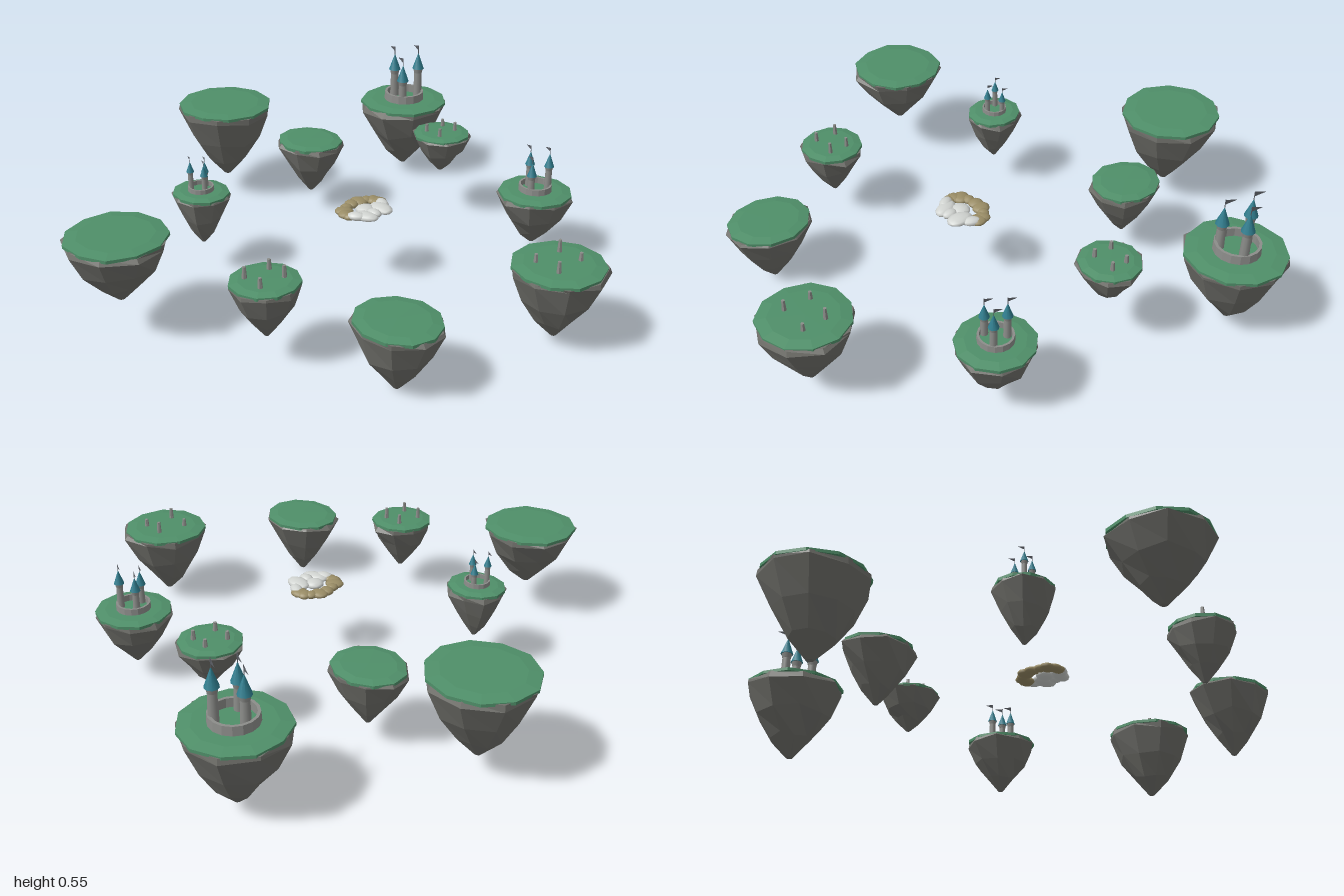
import * as THREE from 'three';

const mat = (name, color, side = THREE.FrontSide) => {
  const m = new THREE.MeshStandardMaterial({ color, side });
  m.name = name;
  return m;
};

function seeded(seed) {
  let s = seed * 7919 + 17;
  return () => ((s = (s * 16807) % 2147483647) / 2147483647);
}

// Faceted solid from rings of points (top ring first), closed by two centre points
function loft(rings, top, bottom) {
  const pos = [];
  const n = rings[0].length;
  const tri = (a, b, c) => pos.push(...a, ...b, ...c);
  for (let i = 0; i < n; i++) {
    const j = (i + 1) % n;
    tri(top, rings[0][j], rings[0][i]);
    for (let k = 0; k + 1 < rings.length; k++) {
      const u = rings[k], l = rings[k + 1];
      tri(u[i], u[j], l[i]);
      tri(u[j], l[j], l[i]);
    }
    const last = rings[rings.length - 1];
    tri(bottom, last[i], last[j]);
  }
  const g = new THREE.BufferGeometry();
  g.setAttribute('position', new THREE.Float32BufferAttribute(pos, 3));
  g.computeVertexNormals();
  return g;
}

// x, z, radius x, radius z, top height, tip height, what stands on it, its scale
const ISLANDS = [
  [0.16, -0.805, 0.182, 0.188, 0.39, 0.08],
  [0.27, -0.44, 0.118, 0.133, 0.3, 0.08],
  [-0.82, -0.275, 0.172, 0.172, 0.37, 0.13],
  [0.8, -0.395, 0.18, 0.18, 0.325, 0.035, 'castle', 1],
  [-0.36, -0.38, 0.098, 0.104, 0.325, 0.12, 'castle', 0.57],
  [0.57, -0.025, 0.11, 0.11, 0.35, 0.19, 'stones', 0.75],
  [-0.47, 0.605, 0.135, 0.152, 0.25, 0.0],
  [-0.63, 0.205, 0.118, 0.115, 0.305, 0.1, 'stones', 0.85],
  [0.525, 0.44, 0.134, 0.134, 0.265, 0.055, 'castle', 0.75],
  [0.065, 0.83, 0.16, 0.16, 0.3, 0.03, 'stones', 1],
];

export function createModel() {
  const rock = mat('rock grey', 0x70706b);
  const grass = mat('grass green', 0x4f8f69);
  const stone = mat('castle stone', 0x8c8d8a, THREE.DoubleSide);
  const roof = mat('roof teal', 0x2f7d8e);
  const cloth = mat('flag grey', 0x5c5f66, THREE.DoubleSide);
  const pale = mat('pale stone', 0xd2d5d2);
  const tan = mat('sand tan', 0x9a8d66);

  const model = new THREE.Group();
  model.name = 'floatingIslands';

  const add = (parent, name, geo, material, x = 0, y = 0, z = 0) => {
    const mesh = new THREE.Mesh(geo, material);
    mesh.name = name;
    mesh.position.set(x, y, z);
    parent.add(mesh);
    return mesh;
  };
  const flat = (g) => {
    const f = g.toNonIndexed();
    f.computeVertexNormals();
    return f;
  };

  // Ringed wall, three roofed towers and their flags
  const towerSpots = [[0, -0.052, 0.118], [-0.05, 0.032, 0.1], [0.05, 0.032, 0.128]];
  function castle(turn) {
    const g = new THREE.Group();
    g.name = 'castle';
    const wall = [[0.07, 0], [0.082, 0], [0.08, 0.036], [0.07, 0.036], [0.07, 0]];
    add(g, 'ringWall', flat(new THREE.LatheGeometry(wall.map((p) => new THREE.Vector2(...p)), 16)), stone);
    for (const [x0, z0, h] of towerSpots) {
      const x = x0 * Math.cos(turn) - z0 * Math.sin(turn);
      const z = x0 * Math.sin(turn) + z0 * Math.cos(turn);
      add(g, 'tower', new THREE.CylinderGeometry(0.015, 0.018, h, 10), stone, x, h / 2, z);
      add(g, 'towerCollar', new THREE.CylinderGeometry(0.02, 0.016, 0.018, 10), stone, x, h - 0.009, z);
      add(g, 'towerRoof', new THREE.ConeGeometry(0.024, 0.068, 10), roof, x, h + 0.034, z);
      add(g, 'flagPole', new THREE.CylinderGeometry(0.0015, 0.0015, 0.04, 5), cloth, x, h + 0.078, z);
      const shape = new THREE.Shape([[0, 0], [0.042, 0.01], [0, 0.02]].map((p) => new THREE.Vector2(...p)));
      add(g, 'flag', new THREE.ShapeGeometry(shape), cloth, x, h + 0.078, z).rotation.y = 1.15;
    }
    return g;
  }

  // Four slim standing stones
  function stones(scale, rand) {
    const g = new THREE.Group();
    g.name = 'standingStones';
    for (const [x, z] of [[-0.048, -0.058], [0.06, -0.038], [-0.06, 0.035], [0.055, 0.045]]) {
      const h = 0.03 + rand() * 0.022;
      add(g, 'standingStone', flat(new THREE.CylinderGeometry(0.006, 0.009, h, 6)), stone,
        x * scale, h / 2, z * scale);
    }
    return g;
  }

  ISLANDS.forEach(([x, z, rx, rz, topY, tipY, feature, scale], index) => {
    const rand = seeded(index + 3);
    const island = new THREE.Group();
    island.name = 'island';
    island.position.set(x, topY, z);
    model.add(island);
    const depth = topY - tipY;
    const n = 9;
    const turn = rand() * 6;
    const ring = (count, r, y, jr, jy) => Array.from({ length: count }, (_, i) => {
      const a = turn + (i / count) * Math.PI * 2;
      const k = r * (1 + (rand() - 0.5) * jr);
      return [Math.cos(a) * rx * k, y + (rand() - 0.5) * jy, Math.sin(a) * rz * k];
    });

    // Rock tapering to a blunt tip
    const rings = [
      ring(n, 0.98, -0.008, 0.06, 0.006),
      ring(n, 1.02, -0.1 * depth, 0.12, 0.02),
      ring(n, 0.75, -0.44 * depth, 0.1, 0.02),
      ring(n, 0.42, -0.74 * depth, 0.12, 0.02),
      ring(n, 0.07, -0.985 * depth, 0.1, 0),
    ];
    add(island, 'rock', loft(rings, [0, -0.008, 0], [0, -depth, 0]), rock);

    // Gently domed turf
    const edge = ring(11, 0.985, -0.002, 0.05, 0);
    const inner = edge.map((p) => [p[0] * 0.75, 0.004, p[2] * 0.75]);
    const skirt = edge.map((p) => [p[0], -0.013, p[2]]);
    add(island, 'turf', loft([inner, edge, skirt], [0, 0.005, 0], [0, -0.013, 0]), grass);

    if (feature === 'castle') {
      const c = castle([0, 0, 0, 0, 3.4, 0, 0, 0, 0.35][index]);
      c.scale.setScalar(scale);
      island.add(c);
    } else if (feature === 'stones') {
      island.add(stones(scale, rand));
    }
  });

  // Small floating shoal of rounded rocks: sandy arc behind, pale lobes in front
  const shoal = new THREE.Group();
  shoal.name = 'shoal';
  shoal.position.set(-0.02, 0.28, 0.08);
  model.add(shoal);
  const lump = (name, material, x, y, z, sx, sy, sz, ry = 0) => {
    const m = add(shoal, name, new THREE.IcosahedronGeometry(1, 1), material, x, y, z);
    m.scale.set(sx, sy, sz);
    m.rotation.y = ry;
  };
  for (let i = 0; i < 9; i++) {
    const a = Math.PI * (0.95 + (i / 8) * 1.1);
    const s = 0.024 + 0.005 * (i % 3);
    lump('sandyLump', tan, Math.cos(a) * 0.078, -0.002, Math.sin(a) * 0.05 - 0.002, s, 0.013, s * 0.9, i);
  }
  const lobes = [[-0.045, 0.05, 0.03, 0.05, 0.3], [0.035, 0.055, 0.034, 0.05, -0.15], [-0.005, 0.015, 0.035, 0.035, 0],
    [-0.068, 0.03, 0.022, 0.035, 0.5], [0.07, 0.03, 0.022, 0.035, -0.5], [-0.01, 0.06, 0.022, 0.03, 0]];
  lobes.forEach(([x, z, sx, sz, ry], i) => lump('paleLobe', pale, x, 0.001 + 0.002 * (i % 2), z, sx, 0.015, sz, ry));

  return model;
}
